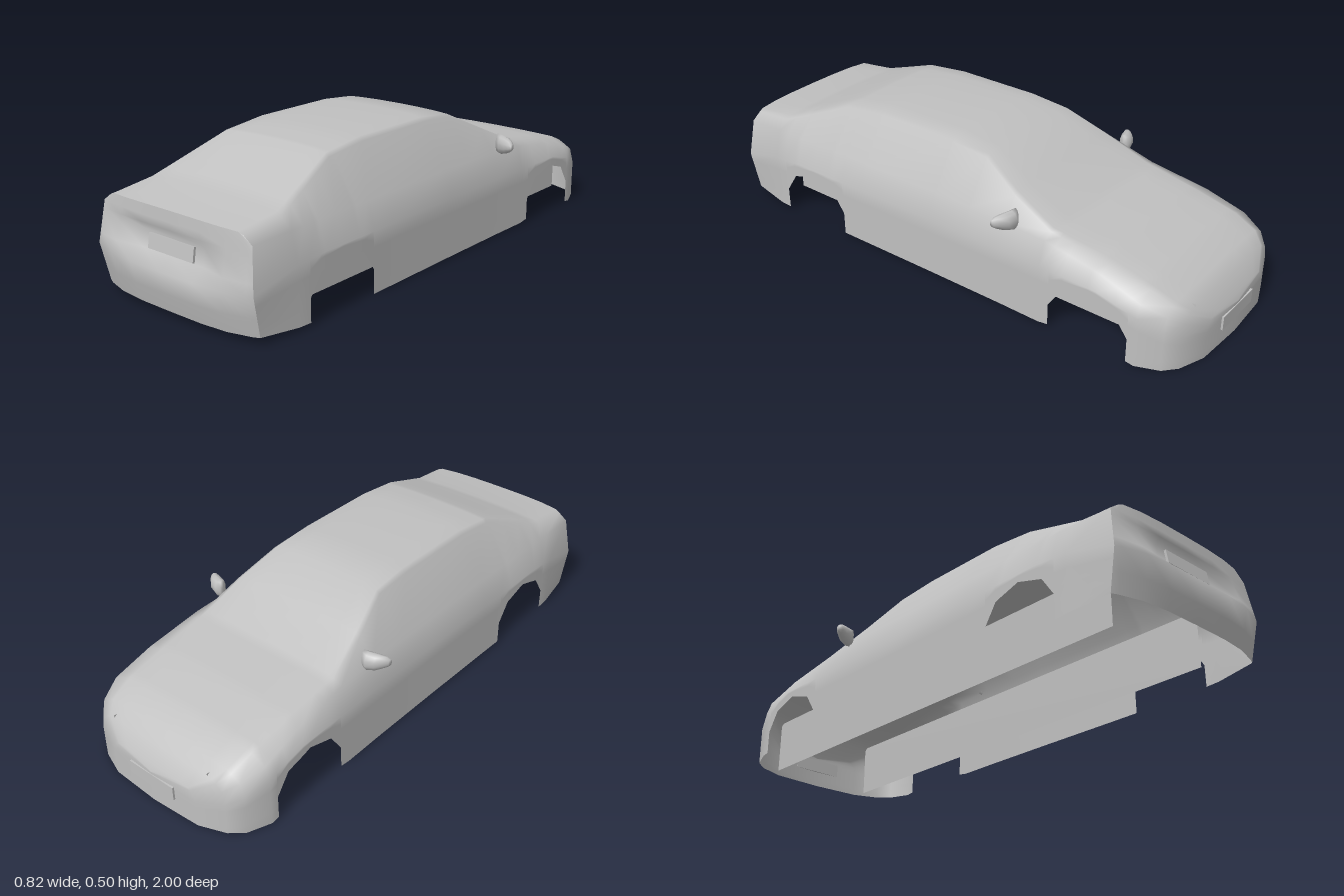
import * as THREE from 'three';
import { mergeVertices } from 'three/addons/utils/BufferGeometryUtils.js';

// Linear lookup in a table of rows sorted by their first column.
function lookup(table, t) {
  let i = 1;
  while (i < table.length - 1 && table[i][0] < t) i++;
  const a = table[i - 1], b = table[i];
  const k = THREE.MathUtils.clamp((t - a[0]) / (b[0] - a[0]), 0, 1);
  return a.map((v, n) => v + (b[n] - v) * k);
}

// Smooth surface through a list of equally long point rows.
function loft(rows) {
  const n = rows[0].length, index = [];
  for (let i = 0; i < rows.length - 1; i++) {
    for (let j = 0; j < n - 1; j++) {
      const a = i * n + j, b = a + n;
      index.push(a, a + 1, b, a + 1, b + 1, b);
    }
  }
  const g = new THREE.BufferGeometry();
  g.setAttribute('position', new THREE.Float32BufferAttribute(rows.flat(2), 3));
  g.setIndex(index);
  const merged = mergeVertices(g, 1e-5);
  merged.computeVertexNormals();
  return merged;
}

// Cross-sections: z, sill x, belt x, belt y, shoulder x, y, roof edge x, y, centre y
const SECTIONS = [
  [-0.995, 0, 0, 0.10, 0, 0.115, 0, 0.118, 0.12],
  [-0.985, 0.19, 0.19, 0.10, 0.185, 0.12, 0.17, 0.135, 0.145],
  [-0.95, 0.285, 0.285, 0.12, 0.275, 0.165, 0.25, 0.185, 0.20],
  [-0.91, 0.33, 0.33, 0.14, 0.315, 0.195, 0.28, 0.215, 0.23],
  [-0.83, 0.362, 0.362, 0.18, 0.345, 0.225, 0.29, 0.25, 0.262],
  [-0.68, 0.367, 0.367, 0.22, 0.34, 0.27, 0.29, 0.285, 0.30],
  [-0.46, 0.364, 0.364, 0.22, 0.335, 0.305, 0.30, 0.322, 0.333],
  [-0.30, 0.362, 0.362, 0.22, 0.335, 0.312, 0.28, 0.39, 0.408],
  [-0.15, 0.362, 0.362, 0.22, 0.335, 0.315, 0.24, 0.463, 0.48],
  [0, 0.362, 0.362, 0.22, 0.335, 0.315, 0.237, 0.475, 0.497],
  [0.33, 0.364, 0.364, 0.22, 0.335, 0.315, 0.237, 0.475, 0.497],
  [0.5, 0.367, 0.367, 0.22, 0.336, 0.315, 0.24, 0.458, 0.477],
  [0.66, 0.367, 0.367, 0.22, 0.338, 0.315, 0.275, 0.395, 0.415],
  [0.78, 0.365, 0.365, 0.21, 0.34, 0.315, 0.30, 0.348, 0.37],
];
// Tail outline: y, half width, z
const TAIL_EDGE = [[0.025, 0.345, 0.925], [0.165, 0.353, 0.955], [0.31, 0.335, 0.935], [0.335, 0.30, 0.935]];
// Tail centre line: y, z, recess depth
const TAIL_CENTRE = [
  [0.025, 0.968, 0], [0.09, 0.985, 0], [0.165, 1, 0], [0.2, 0.975, 0.025],
  [0.26, 0.958, 0.018], [0.285, 0.955, 0], [0.31, 0.953, 0], [0.335, 0.95, 0],
];
// Crown across the width: fraction of half width, fraction of drop
const CROWN = [[1, 1], [0.94, 0.4], [0.7, 0.2], [0.4, 0.06], [0, 0]];
const TAIL_CROWN = 0.012;
const ARCH = [[-0.15, 0.005], [-0.15, 0.09], [-0.1, 0.163], [0, 0.193], [0.1, 0.163], [0.15, 0.09], [0.15, 0.01]];

const mirrorRing = half => [...half, ...half.slice(0, -1).reverse().map(([x, y, z]) => [-x, y, z])];

function sectionRing(z, bottom) {
  const [, x0, x1, yb, xs, ys, xr, yr, yc] = lookup(SECTIONS, z);
  const half = [];
  for (let k = 0; k <= 4; k++) {
    half.push([x0 + (x1 - x0) * k / 4, bottom + (yb - bottom) * k / 4, z]);
  }
  half.push([xs, ys, z]);
  CROWN.forEach(([u, d]) => half.push([xr * u, yc - (yc - yr) * d, z]));
  return mirrorRing(half);
}

function tailRing() {
  const half = [];
  const at = y => { const [, x, z] = lookup(TAIL_EDGE, y); return [x, y, z]; };
  for (let k = 0; k <= 4; k++) half.push(at(0.025 + 0.14 * k / 4));
  half.push(at(0.31));
  const [, w, ze] = TAIL_EDGE[3];
  CROWN.forEach(([u, d]) => half.push([w * u, 0.335 + TAIL_CROWN * (1 - d), ze + 0.015 * (1 - u ** 4)]));
  return mirrorRing(half);
}

// Main shell, with the lower edge rising over the wheel arches
function shellGeometry() {
  const stations = SECTIONS.map(s => s[0])
    .filter(z => ![0.58, -0.65].some(c => Math.abs(z - c) < 0.149))
    .map(z => [z, z > 0.75 ? 0.012 : z < -0.8 ? 0 : 0.004]);
  // sections lying inside an arch follow the arch line
  for (const c of [-0.65, 0.58]) {
    ARCH.forEach(([dz, y]) => stations.push([c + dz, y]));
    SECTIONS.forEach(([z]) => {
      if (Math.abs(z - c) < 0.149) stations.push([z, lookup(ARCH.slice(1, 6), z - c)[1]]);
    });
  }
  stations.sort((a, b) => a[0] - b[0]);
  const rings = stations.map(([z, y]) => sectionRing(z, y));
  rings.push(tailRing());
  return loft(rings);
}

// Rear face with the recess around the plate
function tailGeometry() {
  return loft(TAIL_CENTRE.map(([y, zc, depth], row) => {
    const [, w, ze] = lookup(TAIL_EDGE, y);
    const top = row === TAIL_CENTRE.length - 1;
    return mirrorRing(CROWN.map(([u, d]) => {
      const inset = depth * THREE.MathUtils.clamp((0.7 - u) / 0.3, 0, 1);
      return [-w * u, y + (top ? TAIL_CROWN * (1 - d) : 0), ze + (zc - ze) * (1 - u ** 4) - inset];
    }));
  }));
}

// Door mirror housing: x, y, z, half height, half depth
function doorMirrorGeometry() {
  const rings = [
    [0.327, 0.343, -0.337, 0, 0], [0.327, 0.343, -0.337, 0.036, 0.014], [0.345, 0.34, -0.335, 0.036, 0.024],
    [0.375, 0.343, -0.325, 0.03, 0.026], [0.398, 0.346, -0.312, 0.021, 0.018],
    [0.41, 0.346, -0.306, 0.012, 0.01], [0.41, 0.346, -0.306, 0, 0],
  ];
  return loft(rings.map(([x, y, z, h, d]) => Array.from({ length: 11 }, (_, k) => {
    const a = (k / 10) * Math.PI * 2;
    return [x, y + h * Math.cos(a), z - d * Math.sin(a)];
  })));
}

export function createModel() {
  const car = new THREE.Group();
  car.name = 'carBody';
  const paint = new THREE.MeshStandardMaterial({ color: 0xc0c0c0, side: THREE.DoubleSide });
  paint.name = 'light grey';
  const add = (name, geometry, x = 0, y = 0, z = 0) => {
    const mesh = new THREE.Mesh(geometry, paint);
    mesh.name = name;
    mesh.position.set(x, y, z);
    car.add(mesh);
    return mesh;
  };

  add('shell', shellGeometry());
  add('rearPanel', tailGeometry());

  // Number plates
  add('rearPlate', new THREE.BoxGeometry(0.205, 0.05, 0.008), 0, 0.23, 0.95).rotation.x = -0.165;
  add('frontPlate', new THREE.BoxGeometry(0.2, 0.05, 0.008), 0, 0.085, -0.993);

  // Door mirrors and the long inner panels behind the wheels
  const housing = doorMirrorGeometry();
  const inner = new THREE.PlaneGeometry(1.77, 0.2).rotateY(Math.PI / 2);
  for (const [side, s] of [['left', 1], ['right', -1]]) {
    add(side + 'DoorMirror', housing).scale.x = s;
    add(side + 'InnerPanel', inner, s * 0.215, 0.105, -0.065);
  }
  return car;
}
